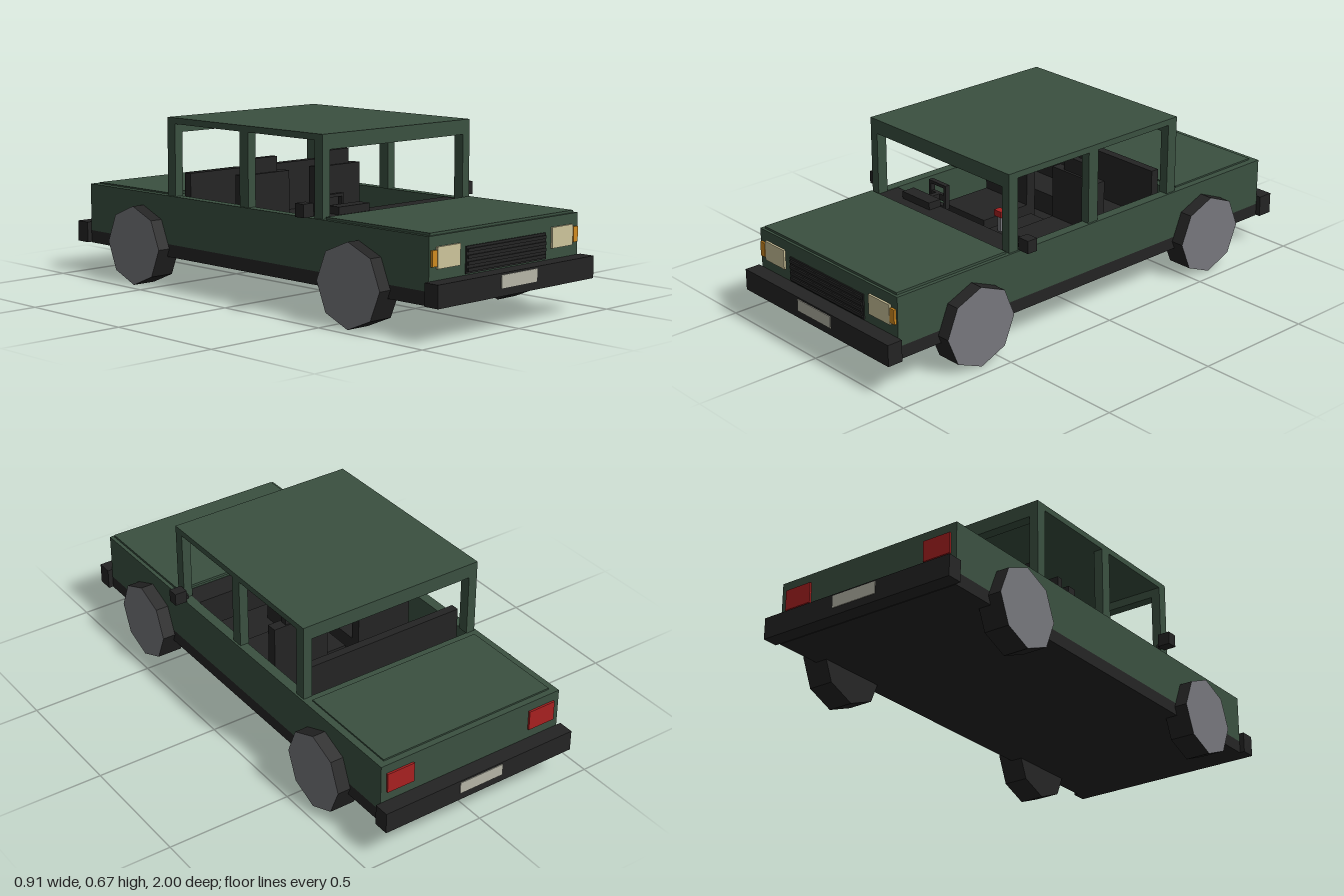
import * as THREE from 'three';

const mat = (name, color) => {
  const m = new THREE.MeshStandardMaterial({ color });
  m.name = name;
  return m;
};

export function createModel() {
  const car = new THREE.Group();
  car.name = 'car';

  const green = mat('green paint', 0x3a5040);
  const black = mat('black trim', 0x242424);
  const grey = mat('wheel grey', 0x76777c);
  const cream = mat('headlight cream', 0xcdc49b);
  const amber = mat('indicator amber', 0xd08a20);
  const red = mat('red', 0xa82020);
  const plate = mat('plate white', 0xb6b5a7);

  // Box given by its extents on each axis
  const box = (name, material, [x0, x1], [y0, y1], [z0, z1], parent = car) => {
    const g = new THREE.BoxGeometry(x1 - x0, y1 - y0, z1 - z0);
    const mesh = new THREE.Mesh(g, material);
    mesh.position.set((x0 + x1) / 2, (y0 + y1) / 2, (z0 + z1) / 2);
    mesh.name = name;
    parent.add(mesh);
    return mesh;
  };
  // The same box on both sides of the car
  const pair = (name, material, [x0, x1], y, z) => {
    box(name + 'Left', material, [x0, x1], y, z);
    box(name + 'Right', material, [-x1, -x0], y, z);
  };

  // Lower body: chassis, engine bay, boot and door walls around an open cabin
  box('chassis', black, [-0.4, 0.4], [0.125, 0.175], [-0.935, 0.935]);
  box('engineBay', green, [-0.4, 0.4], [0.175, 0.366], [0.41, 0.935]);
  box('boot', green, [-0.4, 0.4], [0.175, 0.366], [-0.935, -0.45]);
  pair('doorWall', green, [0.36, 0.4], [0.175, 0.366], [-0.45, 0.41]);
  box('bonnetLid', green, [-0.385, 0.385], [0.366, 0.375], [0.42, 0.925]);
  box('bootLid', green, [-0.372, 0.372], [0.366, 0.372], [-0.91, -0.48]);

  // Cabin frame
  box('roof', green, [-0.392, 0.392], [0.648, 0.672], [-0.453, 0.41]);
  const pillars = { front: [0.367, 0.41], middle: [-0.035, 0.013], rear: [-0.453, -0.408] };
  for (const [place, z] of Object.entries(pillars)) {
    pair(place + 'Pillar', green, [0.355, 0.392], [0.366, 0.648], z);
    if (place !== 'middle') {
      box(place + 'Header', green, [-0.355, 0.355], [0.615, 0.648], z);
    }
  }
  pair('mirror', black, [0.402, 0.453], [0.373, 0.423], [0.33, 0.374]);
  pair('mirrorArm', black, [0.385, 0.403], [0.375, 0.39], [0.345, 0.36]);

  // Bumpers and number plates
  box('frontBumper', black, [-0.42, 0.42], [0.127, 0.21], [0.935, 0.997]);
  box('rearBumper', black, [-0.42, 0.42], [0.127, 0.21], [-0.997, -0.935]);
  box('frontPlate', plate, [-0.096, 0.096], [0.156, 0.203], [0.997, 1.0]);
  box('rearPlate', plate, [-0.096, 0.096], [0.156, 0.203], [-1.0, -0.997]);

  // Lamps
  pair('headlight', cream, [0.248, 0.364], [0.25, 0.327], [0.935, 0.943]);
  pair('indicator', amber, [0.367, 0.392], [0.26, 0.317], [0.935, 0.944]);
  pair('tailLight', red, [0.26, 0.376], [0.25, 0.33], [-0.943, -0.935]);

  // Grille with slats
  box('grille', black, [-0.215, 0.215], [0.215, 0.312], [0.935, 0.94]);
  for (let i = 0; i < 4; i++) {
    const y = 0.222 + i * 0.023;
    box('grilleSlat', black, [-0.21, 0.21], [y, y + 0.012], [0.94, 0.946]);
  }

  // Eight-sided wheels, outer face grey
  for (const side of [1, -1]) {
    for (const z of [0.598, -0.598]) {
      const g = new THREE.CylinderGeometry(0.157, 0.157, 0.103, 8).toNonIndexed();
      g.rotateZ(-side * Math.PI / 2);
      g.computeVertexNormals();
      const wheel = new THREE.Mesh(g, [black, grey, black]);
      wheel.position.set(side * 0.4015, 0.157, z);
      wheel.name = (z > 0 ? 'front' : 'rear') + 'Wheel' + (side > 0 ? 'Left' : 'Right');
      car.add(wheel);
    }
  }

  // Front seats
  pair('seatCushion', black, [0.073, 0.313], [0.175, 0.26], [-0.12, 0.12]);
  pair('seatBack', black, [0.073, 0.313], [0.175, 0.468], [-0.148, -0.105]);
  pair('headrest', black, [0.127, 0.26], [0.468, 0.527], [-0.142, -0.115]);

  // Rear bench
  box('benchCushion', black, [-0.345, 0.345], [0.175, 0.26], [-0.405, -0.24]);
  box('benchBack', black, [-0.345, 0.345], [0.175, 0.455], [-0.407, -0.373]);

  // Dashboard, instrument hood and console
  box('dashboard', black, [-0.36, 0.36], [0.24, 0.364], [0.31, 0.41]);
  box('instrumentHood', black, [-0.265, -0.107], [0.364, 0.393], [0.31, 0.365]);
  box('console', black, [-0.045, 0.045], [0.175, 0.235], [-0.1, 0.31]);

  // Square steering wheel
  const steering = new THREE.Group();
  steering.name = 'steeringWheel';
  car.add(steering);
  for (const y of [0.325, 0.411]) {
    box('rimBar', black, [-0.233, -0.135], [y, y + 0.012], [0.24, 0.26], steering);
  }
  for (const x of [-0.233, -0.147]) {
    box('rimPost', black, [x, x + 0.012], [0.337, 0.411], [0.24, 0.26], steering);
  }
  box('spoke', black, [-0.221, -0.147], [0.355, 0.38], [0.243, 0.257], steering);
  box('column', black, [-0.194, -0.174], [0.355, 0.38], [0.257, 0.32], steering);

  // Gear lever
  box('gearStick', grey, [-0.008, 0.008], [0.235, 0.3], [0.092, 0.108]);
  box('gearKnob', red, [-0.02, 0.02], [0.297, 0.322], [0.085, 0.115]);

  return car;
}
